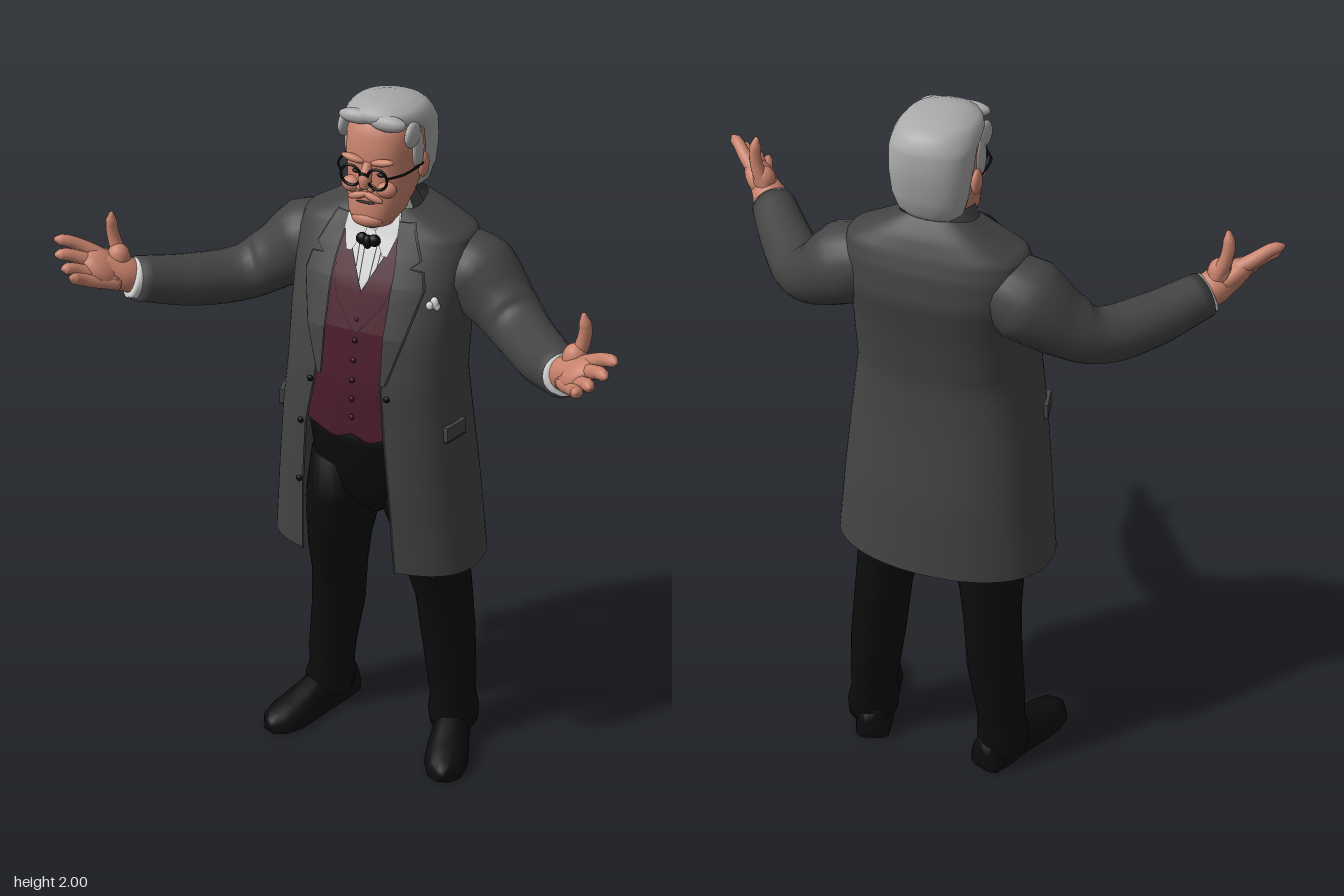
import * as THREE from 'three';

const V = (x, y, z) => new THREE.Vector3(x, y, z);
const mat = (name, color, side = THREE.FrontSide) => {
  const m = new THREE.MeshStandardMaterial({ color, side });
  m.name = name;
  return m;
};

// Skin a list of point rings; closed rings can be capped with fans
function loft(rings, closed = true, caps = closed) {
  const n = rings[0].length, pos = [], idx = [];
  rings.forEach(r => r.forEach(p => pos.push(p.x, p.y, p.z)));
  for (let i = 0; i < rings.length - 1; i++) {
    for (let j = 0; j < (closed ? n : n - 1); j++) {
      const k = (j + 1) % n, a = i * n + j, b = i * n + k;
      idx.push(a, a + n, b, b, a + n, b + n);
    }
  }
  if (caps) [0, rings.length - 1].forEach((row, e) => {
    const c = rings[row].reduce((s, p) => s.add(p), V(0, 0, 0)).divideScalar(n);
    const id = pos.length / 3;
    pos.push(c.x, c.y, c.z);
    for (let j = 0; j < n; j++) {
      const a = row * n + j, b = row * n + (j + 1) % n;
      e ? idx.push(id, b, a) : idx.push(id, a, b);
    }
  });
  const g = new THREE.BufferGeometry();
  g.setAttribute('position', new THREE.Float32BufferAttribute(pos, 3));
  g.setIndex(idx);
  g.computeVertexNormals();
  return g;
}

const pw = (v, p) => Math.sign(v) * Math.abs(v) ** p;
// Horizontal superellipse ring: half width, front z, back z, centre x
function ring(y, a, zf, zb, cx = 0, p = 1, n = 28) {
  return Array.from({ length: n }, (_, i) => {
    const t = i / n * Math.PI * 2;
    return V(cx + a * pw(Math.cos(t), p), y, (zf + zb) / 2 + (zf - zb) / 2 * pw(Math.sin(t), p));
  });
}

// Tube of varying radius along a curve
function limb(points, radii, seg = 20, n = 16) {
  const c = new THREE.CatmullRomCurve3(points.map(p => V(...p)));
  const f = c.computeFrenetFrames(seg);
  const rings = [];
  for (let i = 0; i <= seg; i++) {
    const u = i / seg * (radii.length - 1), k = Math.min(Math.floor(u), radii.length - 2);
    const r = THREE.MathUtils.lerp(radii[k], radii[k + 1], u - k), o = c.getPoint(i / seg);
    rings.push(Array.from({ length: n }, (_, j) => {
      const t = j / n * Math.PI * 2;
      return o.clone().addScaledVector(f.normals[i], r * Math.cos(t)).addScaledVector(f.binormals[i], -r * Math.sin(t));
    }));
  }
  return loft(rings);
}

function mirrored(g) {
  const m = g.clone().scale(-1, 1, 1), ix = m.index.array;
  for (let i = 0; i < ix.length; i += 3) [ix[i], ix[i + 1]] = [ix[i + 1], ix[i]];
  return m;
}
const ball = (x, y, z, rx, ry = rx, rz = rx) => new THREE.SphereGeometry(1, 18, 12).scale(rx, ry, rz).translate(x, y, z);

// Torso profile: y, half width, front z, back z, left opening, right opening
const BODY = [
  [0.675, .31, .07, -.31, .125, .165], [0.9, .287, .085, -.30, .115, .155], [1.1, .266, .09, -.275, .10, .14],
  [1.25, .247, .088, -.265, .09, .11], [1.4, .245, .065, -.285, .09, .095], [1.52, .25, .022, -.308, .095, .09],
  [1.6, .25, -.02, -.298, .088, .088], [1.645, .24, -.045, -.282, .082, .082], [1.675, .175, -.058, -.26, .074, .074],
  [1.71, .1, -.075, -.225, .066, .066]];
function body(y) {
  let i = 0;
  while (i < BODY.length - 2 && y > BODY[i + 1][0]) i++;
  const t = (y - BODY[i][0]) / (BODY[i + 1][0] - BODY[i][0]);
  return BODY[i].map((v, k) => THREE.MathUtils.lerp(v, BODY[i + 1][k], t));
}
const P = 0.72;
function frontZ(x, y) {
  const [, a, zf, zb] = body(y), q = Math.min(1, Math.abs(x) / a);
  return (zf + zb) / 2 + (zf - zb) / 2 * (1 - q ** (2 / P)) ** (P / 2);
}
// Sheet following the chest: rows of y, inner x, outer x
function panel(rows, off, s = 1, dip = () => 0) {
  const rings = [];
  for (let r = 0; r < rows.length - 1; r++) for (let k = 0; k <= 6; k++) {
    const [y, xi, xo] = rows[r].map((v, c) => THREE.MathUtils.lerp(v, rows[r + 1][c], k / 6));
    rings.push(Array.from({ length: 9 }, (_, j) => {
      const x = THREE.MathUtils.lerp(xo, xi, j / 8);
      return V(x * s, y + dip(x, y), frontZ(x, y) + off);
    }));
  }
  return loft(rings, false);
}

export function createModel() {
  const root = new THREE.Group();
  root.name = 'gentleman';
  const D = THREE.DoubleSide;
  const coat = mat('coat grey', 0x444444, D), trim = mat('coat seam', 0x2a2a2a, D), black = mat('black cloth', 0x0c0c0c);
  const wine = mat('waistcoat wine', 0x4c1d2b, D), wineDark = mat('waistcoat trim', 0x351320, D), white = mat('shirt white', 0xd8d8d8, D);
  const skin = mat('skin', 0xc8826c), hair = mat('grey hair', 0xaaaaaa), gloss = mat('glasses black', 0x0b0b0b);
  const add = (name, g, m) => {
    const o = new THREE.Mesh(g, m);
    o.name = name;
    root.add(o);
    return o;
  };
  const pair = (name, g, m) => { add(name + 'Left', g, m); add(name + 'Right', mirrored(g), m); };

  // Trousers
  add('hips', loft([ring(.775, .03, -.06, -.22), ring(.81, .09, -.02, -.24), ring(.87, .17, .012, -.25), ring(.95, .2, .035, -.25), ring(1.05, .205, .055, -.25), ring(1.2, .2, .06, -.24)]), black);
  pair('trouserLeg', loft([
    [.05, .205, .07, -.1, -.262], [.09, .203, .073, -.095, -.268], [.14, .198, .064, -.105, -.266], [.2, .195, .067, -.095, -.272],
    [.35, .178, .075, -.092, -.288], [.5, .166, .076, -.07, -.285], [.6, .155, .084, -.035, -.28], [.72, .138, .1, -.012, -.275], [.8, .12, .11, .002, -.26], [.95, .1, .1, .025, -.25]
  ].map(([y, x, r, f, b]) => ring(y, r, f, b, x))), black);

  // Shoes, toes turned out, with heels
  const shoe = loft([[-.175, .03, .05], [-.165, .048, .09], [-.1, .055, .105], [-.03, .055, .1], [.04, .062, .075], [.1, .064, .058], [.15, .05, .046], [.175, .022, .03]]
    .map(([z, w, h]) => Array.from({ length: 20 }, (_, i) => {
      const t = i / 20 * Math.PI * 2, s = -Math.sin(t);
      return V(w * pw(Math.cos(t), .8), s > 0 ? .014 + h * s : .014 + .012 * Math.max(-1, s * 3), z);
    })));
  const turn = g => g.rotateY(.32).translate(.227, 0, -.1);
  pair('shoe', turn(shoe), black);
  pair('shoeHeel', turn(new THREE.CylinderGeometry(.05, .048, .025, 20).translate(0, .0125, -.115)), black);

  // Long coat, open down the front; rounder at the back of the hem
  const coatRings = [];
  for (let r = 0; r < BODY.length - 1; r++) for (let k = r ? 1 : 0; k <= 4; k++) {
    const y = THREE.MathUtils.lerp(BODY[r][0], BODY[r + 1][0], k / 4), [, a, zf, zb, oL, oR] = body(y);
    const t0 = Math.PI - Math.acos((oR / a) ** (1 / P)), t1 = Math.PI * 2 + Math.acos((oL / a) ** (1 / P));
    coatRings.push(Array.from({ length: 61 }, (_, j) => {
      const t = THREE.MathUtils.lerp(t0, t1, j / 60);
      const p = Math.sin(t) < 0 ? THREE.MathUtils.lerp(.95, P, y - .67) : P;
      const z = (zf + zb) / 2 + (zf - zb) / 2 * pw(Math.sin(t), p);
      return V(a * pw(Math.cos(t), p), y + Math.max(0, (y - 1.645) * 4) * Math.max(0, -z - .13), z);
    }));
  }
  add('coat', loft(coatRings, false), coat);
  [1, -1].forEach(s => {
    const side = s > 0 ? 'Left' : 'Right', o = s > 0 ? 4 : 5;
    add('coatEdge' + side, panel(BODY.slice(0, 5).map(b => [b[0], b[o] - .004, b[o] + .003]), .003, s), trim);
    const lapel = [[1.27, .088, .1], [1.4, .086, .14], [1.53, .088, .172], [1.575, .087, .16], [1.58, .086, .125], [1.6, .084, .15], [1.685, .07, .11]];
    add('lapelBorder' + side, panel(lapel.map(([y, a, b]) => [y, a - .002, b + .004]), .006, s), trim);
    add('lapel' + side, panel(lapel, .011, s), coat);
  });
  // Standing collar behind the neck
  add('coatCollar', loft([[1.67, .115, -.25], [1.715, .09, -.228], [1.74, .078, -.21]].map(([y, a, zb]) =>
    Array.from({ length: 25 }, (_, j) => {
      const t = Math.PI * (.95 + 1.1 * j / 24);
      return V(a * Math.cos(t), y, -.12 + (zb + .12) * -Math.sin(t));
    })), false), coat);
  // Pocket flaps, pocket square and coat buttons
  pair('pocketFlap', new THREE.BoxGeometry(.02, .045, .08).rotateY(-.25).translate(.254, 1.12, -.025), coat);
  pair('pocketSeam', new THREE.BoxGeometry(.02, .004, .082).rotateY(-.25).translate(.255, 1.099, -.025), trim);
  [[.19, 1.492, .01, .012], [.2, 1.498, .012, .018], [.207, 1.488, .008, .012]].forEach(([x, y, w, h]) =>
    add('pocketSquare', ball(x, y, frontZ(x, y) + .005, w, h, .008), white));
  [[-.158, 1.1], [-.168, .91], [-.125, 1.24], [.105, 1.23]].forEach(([x, y]) => add('coatButton', ball(x, y, frontZ(x, y) + .003, .009, .009, .006), gloss));

  // Waistcoat with pointed hem, shirt front and bow tie
  const hem = (x, y) => (y < 1.16 ? (1.16 - y) / .06 : 0) * -.022 * (1 - Math.abs(Math.abs(x) - .05) / .05);
  [1, -1].forEach(s => {
    const side = s > 0 ? 'Left' : 'Right';
    add('waistcoat' + side, panel([[1.1, 0, .16], [1.16, 0, .16], [1.4, 0, .13], [1.5, 0, .13], [1.63, .066, .1], [1.66, .074, .1]], -.008, s, hem), wine);
    add('waistcoatLapel' + side, panel([[1.4, 0, .004], [1.47, 0, .06], [1.5, .002, .075], [1.63, .068, .1]], -.003, s), wine);
    add('waistcoatEdge' + side, panel([[1.394, 0, .005], [1.466, 0, .064], [1.5, -.002, .079], [1.63, .064, .1]], -.005, s), wineDark);
    add('shirt' + side, panel([[1.45, 0, .06], [1.6, 0, .095], [1.7, 0, .085]], -.014, s), white);
    [.012, .028].forEach(x => add('shirtPleat' + side, panel([[1.5 + x * 2, x, x + .003], [1.62, x + .004, x + .007]], -.011, s), trim));
    add('shirtCollarWing' + side, panel([[1.6, .045, .06], [1.65, .014, .076], [1.7, .008, .072]], .012, s), white);
  });
  for (let i = 0; i < 6; i++) add('waistcoatButton', ball(0, 1.15 + i * .056, frontZ(0, 1.15 + i * .056) - .007, .008, .008, .006), wineDark);
  add('shirtCollar', loft([ring(1.64, .076, -.058, -.21), ring(1.72, .07, -.055, -.2)], true, false), white);
  pair('bowTie', ball(.017, 1.635, -.02, .018, .017, .014), gloss);
  add('tieKnot', ball(0, 1.63, -.016, .013, .02, .014), gloss);

  // Arms, cuffs and open hands
  pair('sleeve', limb([[.15, 1.565, -.17], [.25, 1.525, -.17], [.345, 1.458, -.14], [.425, 1.416, -.09], [.52, 1.422, .015], [.624, 1.457, .138]],
    [.09, .114, .089, .077, .073, .062], 30, 22), coat);
  pair('cuff', limb([[.6, 1.448, .11], [.615, 1.453, .13], [.634, 1.462, .148]], [.055, .055, .055], 4, 20), white);
  pair('wrist', limb([[.615, 1.455, .13], [.65, 1.478, .16], [.7, 1.513, .2]], [.046, .048, .032], 8), skin);
  const along = V(.1, .09, .09).normalize(), nor = along.clone().cross(V(-.04, -.05, .05)).normalize();
  pair('palm', ball(0, 0, 0, .066, .034, .055).applyMatrix4(
    new THREE.Matrix4().makeBasis(along, nor, along.clone().cross(nor)).setPosition(.686, 1.502, .192)), skin);
  pair('thumbBase', ball(.66, 1.522, .158, .033, .04, .03), skin);
  [[[.66, 1.5, .165], [.735, 1.552, .2], [.775, 1.578, .23], [.803, 1.585, .25]],
    [[.66, 1.49, .18], [.73, 1.532, .225], [.765, 1.55, .255], [.788, 1.552, .275]],
    [[.65, 1.475, .19], [.715, 1.505, .245], [.74, 1.522, .275], [.755, 1.526, .296]],
    [[.645, 1.465, .19], [.695, 1.483, .245], [.715, 1.498, .28], [.722, 1.512, .308]],
    [[.645, 1.49, .15], [.672, 1.55, .148], [.682, 1.6, .15], [.677, 1.65, .156]]
  ].forEach((p, i) => pair(i < 4 ? 'finger' : 'thumb', limb(p, [.024, .022, .02, .018, .017, .0155, .005], 18, 10), skin));

  // Head and neck
  add('neck', new THREE.CylinderGeometry(.06, .062, .12, 20).translate(0, 1.69, -.135), skin);
  add('head', loft([[1.672, .03, -.015, -.08], [1.682, .055, -.002, -.11], [1.71, .073, .003, -.16], [1.745, .083, -.004, -.2], [1.775, .09, -.008, -.22],
    [1.82, .095, -.02, -.24], [1.86, .098, -.013, -.25], [1.92, .1, -.025, -.25], [1.955, .09, -.04, -.24], [1.975, .06, -.07, -.2]].map(([y, a, f, b]) => ring(y, a, f, b, 0, .85))), skin);
  add('nose', limb([[0, 1.855, -.02], [0, 1.825, -.004], [0, 1.79, .002]], [.012, .015, .019, .012], 10, 12), skin);
  pair('nostril', ball(.015, 1.79, -.006, .012, .01, .013), skin);
  pair('cheek', ball(.05, 1.785, -.025, .028, .022, .022), skin);
  add('chin', ball(0, 1.698, -.015, .045, .022, .024), skin);
  pair('ear', ball(.1, 1.82, -.145, .014, .035, .022), skin);
  pair('eye', ball(.036, 1.825, -.021, .011, .005, .006), gloss);
  pair('brow', ball(0, 0, 0, .034, .01, .012).rotateZ(.18).translate(.042, 1.862, -.016), skin);
  pair('moustache', ball(0, 0, 0, .03, .01, .01).rotateZ(-.3).translate(.022, 1.766, -.003), skin);
  add('mouth', ball(0, 1.749, -.003, .028, .003, .006), trim);

  // Hair brushed back from a high forehead, with sideburns in front of the ears
  add('hair', loft([[1.735, .068, -.165, -.235], [1.755, .088, -.16, -.25], [1.8, .102, -.155, -.265], [1.86, .109, -.14, -.274], [1.885, .111, -.125, -.276],
    [1.925, .112, -.105, -.275], [1.94, .112, -.07, -.272], [1.955, .11, -.035, -.265], [1.97, .103, -.024, -.256], [1.985, .09, -.03, -.235], [1.997, .055, -.06, -.19], [2, .02, -.09, -.14]
  ].map(([y, a, f, b]) => ring(y, a, f, b, 0, .88))), hair);
  pair('sideburn', ball(.098, 1.875, -.115, .012, .055, .028), hair);
  pair('templeHair', ball(.096, 1.925, -.085, .015, .035, .04), hair);
  [[.045, 1.962, -.043, .052, .022, .022], [-.045, 1.968, -.043, .05, .02, .02]].forEach(a => add('fringe', ball(...a), hair));

  // Round spectacles
  pair('lensRim', new THREE.TorusGeometry(.028, .0038, 8, 28).translate(.038, 1.823, .006), gloss);
  add('bridge', limb([[-.012, 1.83, .008], [0, 1.836, .014], [.012, 1.83, .008]], [.0035, .0035], 6, 8), gloss);
  pair('temple', limb([[.066, 1.83, .006], [.096, 1.832, -.04], [.107, 1.832, -.15]], [.0035, .0035], 10, 8), gloss);
  return root;
}
